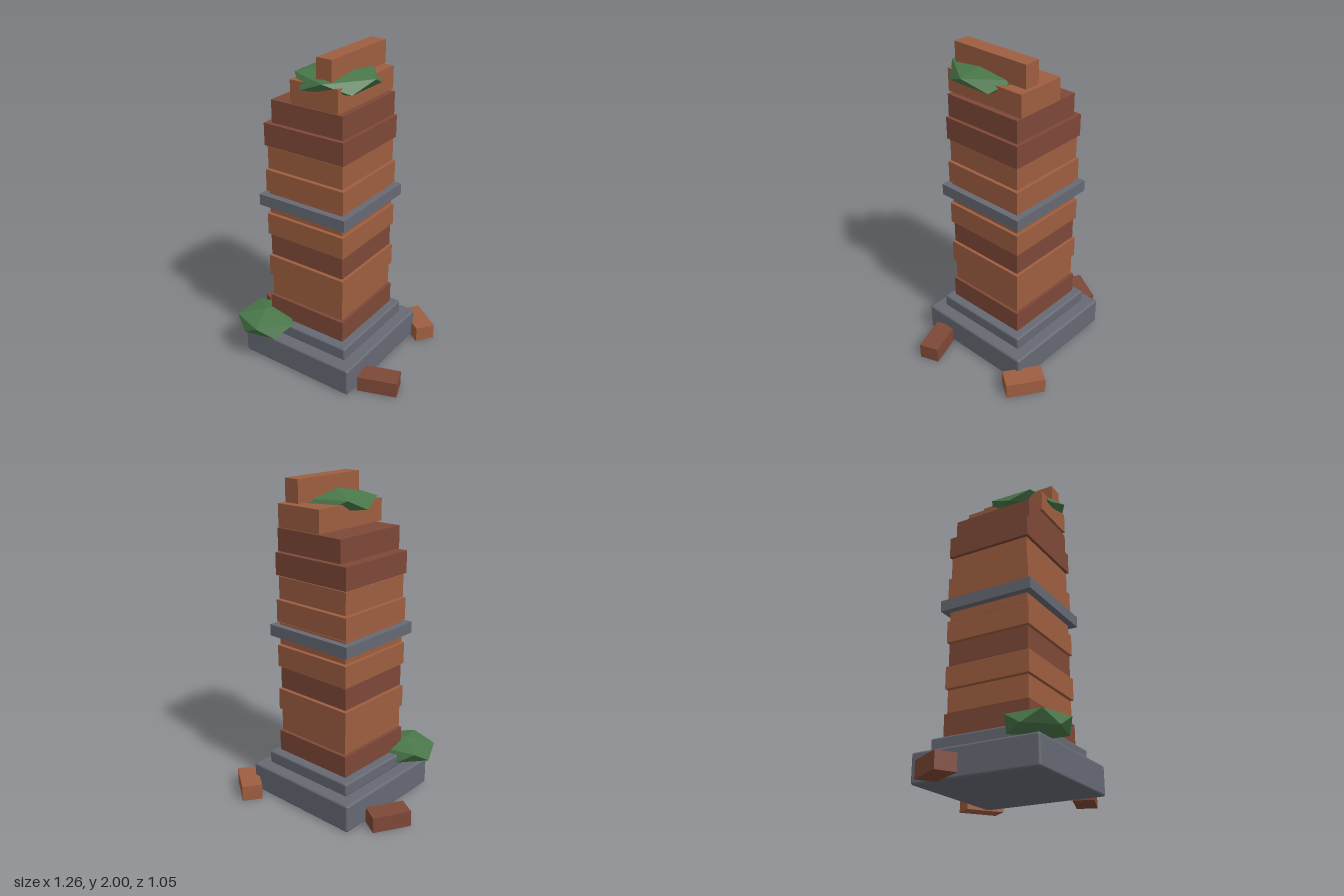
import * as THREE from 'three';
import { RoundedBoxGeometry } from 'three/addons/geometries/RoundedBoxGeometry.js';

const CX = -0.012, CZ = 0.031; // tower axis

const paint = (color, flatShading = false) => new THREE.MeshStandardMaterial({ color, flatShading });
const stone = paint(0x666973);
const lightBrick = paint(0x9e5e40);
const darkBrick = paint(0x7e4838);
const leaf = paint(0x4a774a, true);

// Squashed, irregular twenty-sided clump: two poles and two staggered rings of five
function clump(c, upper, lower, ys) {
  const [yTop, yUp, yLow, yBottom] = ys;
  const ring = (radii, y, offset) => radii.map((r, i) => {
    const a = (i + offset) * Math.PI * 2 / 5;
    return [c[0] + r * Math.cos(a), y, c[1] + r * Math.sin(a)];
  });
  const points = [[c[0], yTop, c[1]], ...ring(upper, yUp, 0), ...ring(lower, yLow, 0.5), [c[0], yBottom, c[1]]];
  const index = [];
  for (let i = 0; i < 5; i++) {
    const j = (i + 1) % 5;
    const u = 1 + i, v = 1 + j, p = 6 + i, q = 6 + j;
    index.push(0, v, u, u, v, p, v, q, p, 11, p, q);
  }
  const g = new THREE.BufferGeometry();
  g.setAttribute('position', new THREE.Float32BufferAttribute(points.flat(), 3));
  g.setIndex(index);
  const flat = g.toNonIndexed();
  flat.computeVertexNormals();
  return flat;
}

export function createModel() {
  const model = new THREE.Group();
  model.name = 'ruinedBrickPillar';

  const add = (name, geometry, material, x = 0, y = 0, z = 0, turn = 0) => {
    const mesh = new THREE.Mesh(geometry, material);
    mesh.name = name;
    mesh.position.set(x, y, z);
    mesh.rotation.y = turn;
    model.add(mesh);
    return mesh;
  };
  const box = (w, h, d) => new THREE.BoxGeometry(w, h, d);

  // Stepped stone footing
  add('base', new RoundedBoxGeometry(0.79, 0.178, 0.79, 2, 0.014), stone, CX, 0.094, CZ);
  add('plinth', new RoundedBoxGeometry(0.645, 0.083, 0.645, 2, 0.012), stone, CX, 0.227, CZ);

  // Brick courses, alternately wide and narrow; the top two are broken off on one side
  const darkCourses = [0, 3, 8, 9];
  const brokenCourses = { 9: [-0.235, 0.25], 10: [-0.088, 0.229] };
  for (let i = 0; i < 11; i++) {
    const size = i % 2 ? 0.523 : 0.547;
    const [x0, x1] = brokenCourses[i] ?? [CX - size / 2, CX + size / 2];
    add('brickCourse' + (i + 1), box(x1 - x0, 0.136, size),
      darkCourses.includes(i) ? darkBrick : lightBrick, (x0 + x1) / 2, 0.345 + i * 0.1441, CZ);
  }

  // Stone band and the last standing brick
  add('stoneBand', box(0.608, 0.07, 0.608), stone, CX, 1.087, CZ);
  add('topBrick', box(0.1, 0.136, 0.523), lightBrick, 0.13, 1.932, CZ);

  // Fallen bricks
  const fallen = [
    [0.385, -0.408, -0.61, lightBrick],
    [-0.52, -0.118, 1.05, darkBrick],
    [0.494, 0.245, 0.34, darkBrick],
  ];
  fallen.forEach(([x, z, turn, material], i) =>
    add('fallenBrick' + (i + 1), box(0.242, 0.1, 0.126), material, x, 0.05, z, turn));

  // Greenery at the top and at the foot
  add('topFoliage', clump([0.073, 0.1], [0.257, 0.257, 0.227, 0.24, 0.245],
    [0.25, 0.24, 0.223, 0.22, 0.25], [1.92, 1.878, 1.815, 1.795]), leaf);
  add('footFoliage', clump([-0.29, 0.35], [0.21, 0.184, 0.184, 0.187, 0.17],
    [0.19, 0.168, 0.185, 0.165, 0.17], [0.33, 0.29, 0.22, 0.182]), leaf);

  return model;
}
